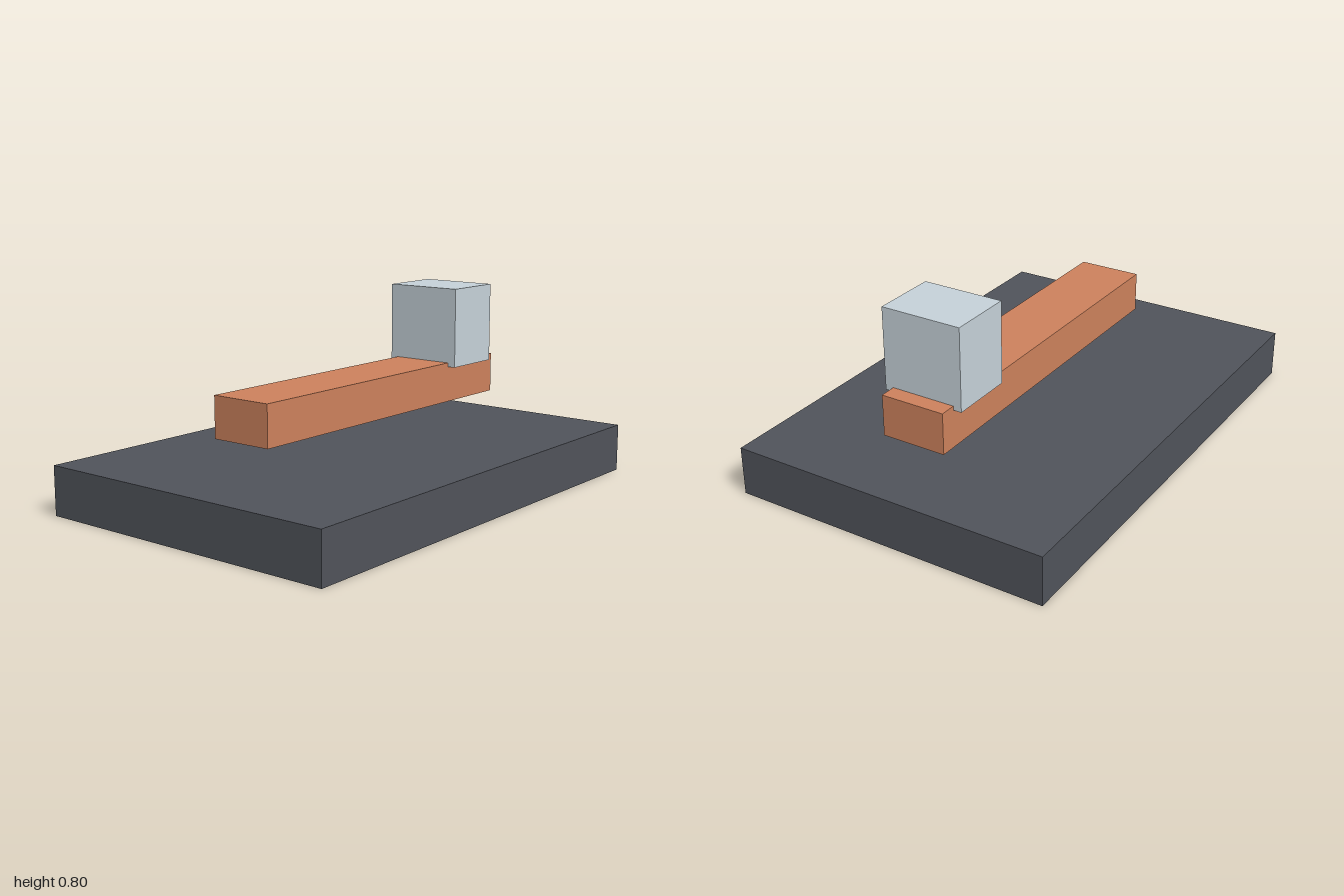
import * as THREE from 'three';

// Box given by its extents along each axis
function box(name, color, [x0, x1], [y0, y1], [z0, z1]) {
  const mesh = new THREE.Mesh(
    new THREE.BoxGeometry(x1 - x0, y1 - y0, z1 - z0),
    new THREE.MeshStandardMaterial({ color })
  );
  mesh.position.set((x0 + x1) / 2, (y0 + y1) / 2, (z0 + z1) / 2);
  mesh.name = name;
  return mesh;
}

export function createModel() {
  const model = new THREE.Group();
  model.name = 'slider';
  model.add(
    // Wide slab on the ground
    box('basePlate', 0x50535a, [-1, 1], [0, 0.2], [-0.667, 0.667]),
    // Long bar floating above the plate
    box('bar', 0xcc815c, [-0.667, 0.8], [0.32, 0.487], [-0.133, 0.133]),
    // Upright block sunk slightly into the bar
    box('block', 0xc5d1d8, [0.467, 0.733], [0.47, 0.803], [-0.167, 0.167])
  );
  return model;
}
